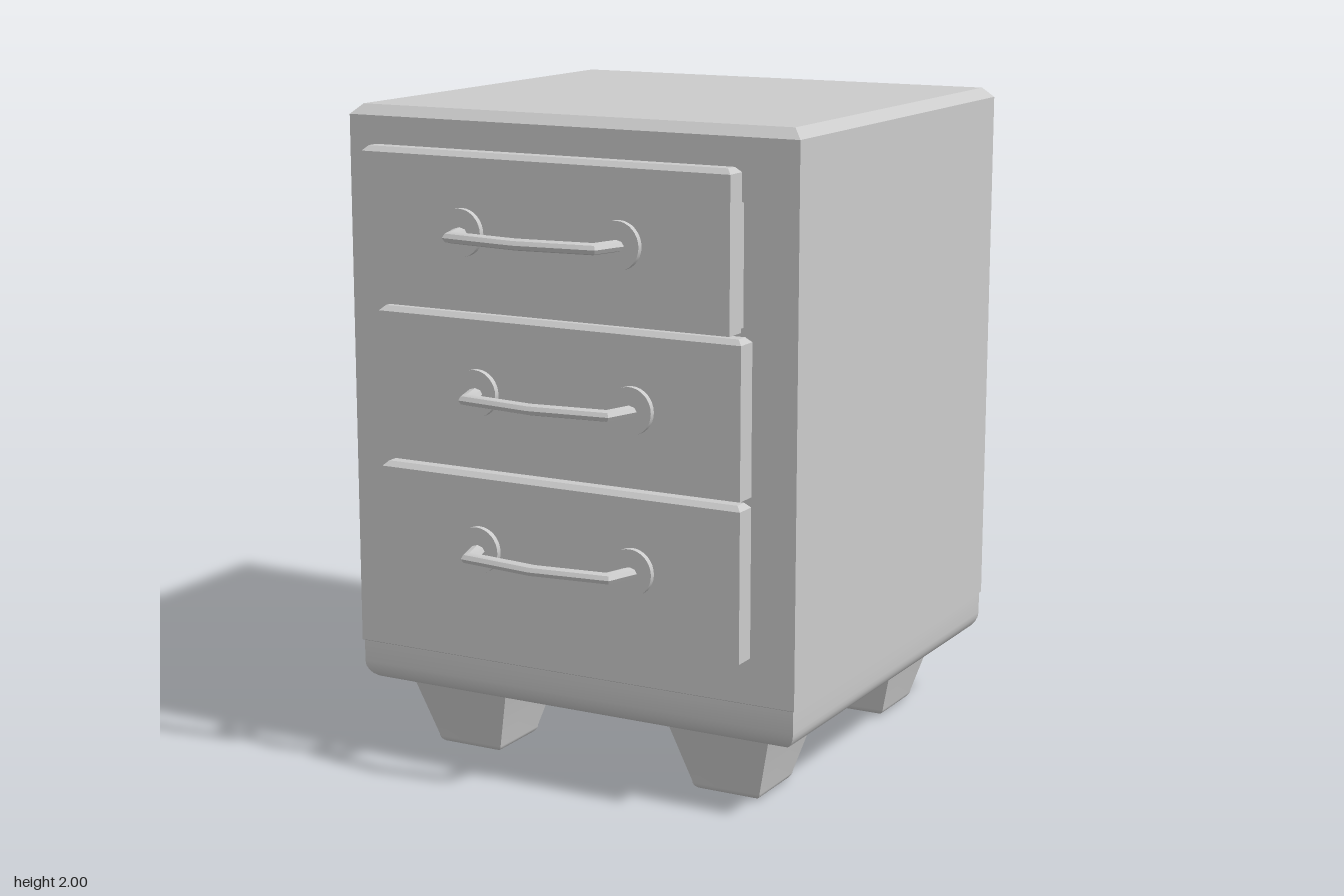
import * as THREE from 'three';
import { toCreasedNormals } from 'three/addons/utils/BufferGeometryUtils.js';

const material = new THREE.MeshStandardMaterial({ color: 0xcccccc });

// Skin a closed solid over rings (each counter-clockwise seen from the last ring's end)
function loft(rings) {
  const n = rings[0].length, index = [];
  for (let k = 0; k < rings.length - 1; k++) {
    for (let i = 0; i < n; i++) {
      const a = k * n + i, b = k * n + (i + 1) % n;
      index.push(a, b, b + n, a, b + n, a + n);
    }
  }
  const last = (rings.length - 1) * n;
  for (let i = 1; i < n - 1; i++) {
    index.push(0, i + 1, i, last, last + i, last + i + 1);
  }
  const geometry = new THREE.BufferGeometry().setFromPoints(rings.flat());
  geometry.setIndex(index);
  return toCreasedNormals(geometry, 0.5);
}

// Rectangular solid from levels of [half width, half depth, y]
function rectLoft(levels) {
  return loft(levels.map(([w, d, y]) =>
    [[w, d], [w, -d], [-w, -d], [-w, d]].map(([x, z]) => new THREE.Vector3(x, y, z))));
}

// Levels of a rounded bottom edge, from the underside up
function roundedBottom(w, d, y, r, steps = 6) {
  return Array.from({ length: steps + 1 }, (_, i) => {
    const a = (i / steps) * Math.PI / 2, inset = r * (1 - Math.sin(a));
    return [w - inset, d - inset, y + r * (1 - Math.cos(a))];
  });
}

function add(parent, name, geometry, x = 0, y = 0, z = 0) {
  const mesh = new THREE.Mesh(geometry, material);
  mesh.name = name;
  mesh.position.set(x, y, z);
  parent.add(mesh);
  return mesh;
}

// Bent pull bar with mitred corners and an oval section
function pullBar() {
  const path = [[-0.262, 0], [-0.23, 0.1], [0, 0.128], [0.23, 0.1], [0.262, 0]]
    .map(([x, z]) => new THREE.Vector3(x, 0, z));
  const up = new THREE.Vector3(0, 1, 0);
  const sides = 8;
  const rings = path.map((p, k) => {
    const before = p.clone().sub(path[Math.max(k - 1, 0)]).normalize();
    const after = path[Math.min(k + 1, path.length - 1)].clone().sub(p).normalize();
    const tangent = before.clone().add(after).normalize();
    const cos = Math.max(tangent.dot(before), tangent.dot(after));
    const out = tangent.clone().cross(up).multiplyScalar(0.024 / cos);
    return Array.from({ length: sides }, (_, i) => {
      const a = (i / sides) * Math.PI * 2;
      return p.clone().addScaledVector(up, 0.017 * Math.cos(a)).addScaledVector(out, Math.sin(a));
    });
  });
  return loft(rings);
}

function handle() {
  const group = new THREE.Group();
  group.name = 'handle';
  const rosette = new THREE.CylinderGeometry(0.07, 0.07, 0.018, 32).rotateX(Math.PI / 2);
  for (const side of [-1, 1]) add(group, 'handleRosette', rosette, side * 0.257, 0, 0.009);
  add(group, 'handleBar', pullBar());
  return group;
}

// Front panel, open tray behind it and a handle; origin at the bottom of the panel's back
function drawer(name) {
  const group = new THREE.Group();
  group.name = name;
  add(group, 'drawerPanel', rectLoft([
    [0.6, 0.035, 0], [0.6, 0.035, 0.443], [0.585, 0.02, 0.458],
  ]), 0, 0, 0.035);
  const wall = new THREE.BoxGeometry(0.03, 0.35, 0.14);
  for (const side of [-1, 1]) add(group, 'drawerSide', wall, side * 0.555, 0.175, -0.07);
  add(group, 'drawerFloor', new THREE.BoxGeometry(1.08, 0.03, 0.14), 0, 0.015, -0.07);
  const pull = handle();
  pull.position.set(0, 0.228, 0.07);
  group.add(pull);
  return group;
}

export function createModel() {
  const model = new THREE.Group();
  model.name = 'bedsideCabinet';
  const centreZ = -0.149;

  // Cabinet: rounded base, slight step, straight sides, bevelled top
  add(model, 'cabinetBody', rectLoft([
    ...roundedBottom(0.734, 0.701, 0.22, 0.06),
    [0.734, 0.701, 0.347], [0.739, 0.706, 0.35],
    [0.739, 0.706, 1.97], [0.709, 0.676, 2],
  ]), 0, 0, centreZ);

  // Tapered feet
  const foot = rectLoft([...roundedBottom(0.112, 0.112, 0, 0.028), [0.169, 0.169, 0.225]]);
  for (const x of [-0.447, 0.447]) {
    for (const z of [-0.445, 0.445]) add(model, 'foot', foot, x, 0, centreZ + z);
  }

  // Three drawers, the top one pulled out a little
  [['bottomDrawer', 0.488, 0.56], ['middleDrawer', 0.96, 0.56], ['topDrawer', 1.44, 0.63]]
    .forEach(([name, y, z]) => {
      const unit = drawer(name);
      unit.position.set(0, y, z);
      model.add(unit);
    });

  return model;
}
